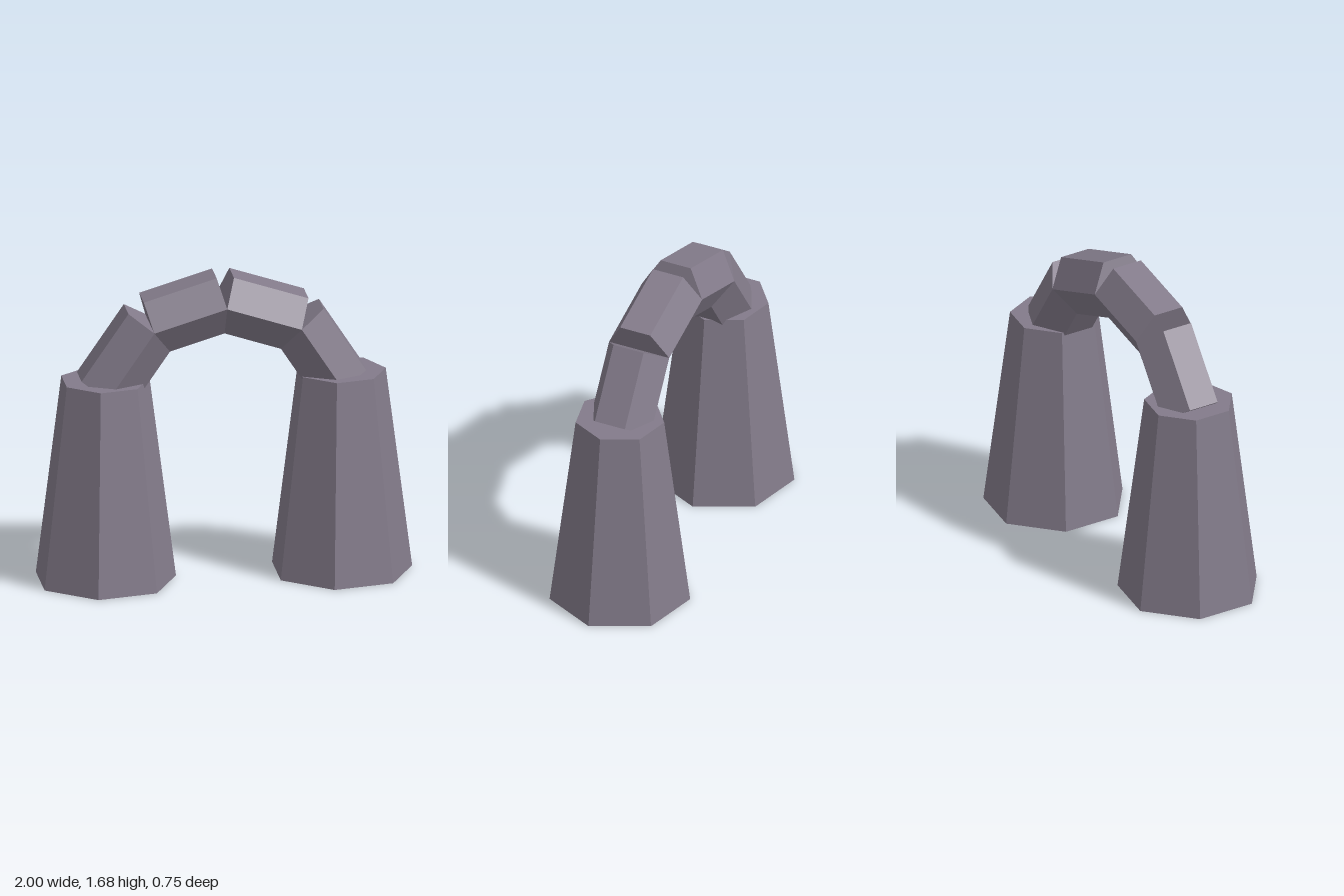
import * as THREE from 'three';

export function createModel() {
  const group = new THREE.Group();
  const stone = new THREE.MeshStandardMaterial({ color: 0x837b8a, flatShading: true });
  stone.name = 'purple grey stone';

  // Tapered seven-sided pillars, a corner of each pointing to +x
  const pillarGeo = new THREE.CylinderGeometry(0.242, 0.384, 1.11, 7, 1, false, Math.PI / 2);
  [['rightPillar', -0.654], ['leftPillar', 0.616]].forEach(([name, x]) => {
    const pillar = new THREE.Mesh(pillarGeo, stone);
    pillar.name = name;
    pillar.position.set(x, 0.555, 0);
    group.add(pillar);
  });

  // Arch of four hexagonal blocks, each running from joint to joint
  const joints = [[-0.663, 1.045], [-0.411, 1.412], [-0.019, 1.53], [0.382, 1.398], [0.61, 1.046]]
    .map(([x, y]) => new THREE.Vector3(x, y, 0));
  const arch = new THREE.Group();
  arch.name = 'arch';
  for (let i = 0; i < joints.length - 1; i++) {
    const a = joints[i], b = joints[i + 1];
    const block = new THREE.Mesh(new THREE.CylinderGeometry(0.178, 0.178, a.distanceTo(b), 6), stone);
    block.name = 'archBlock' + (i + 1);
    block.position.copy(a).lerp(b, 0.5);
    block.rotation.z = Math.atan2(b.y - a.y, b.x - a.x) - Math.PI / 2;
    arch.add(block);
  }
  group.add(arch);
  return group;
}
